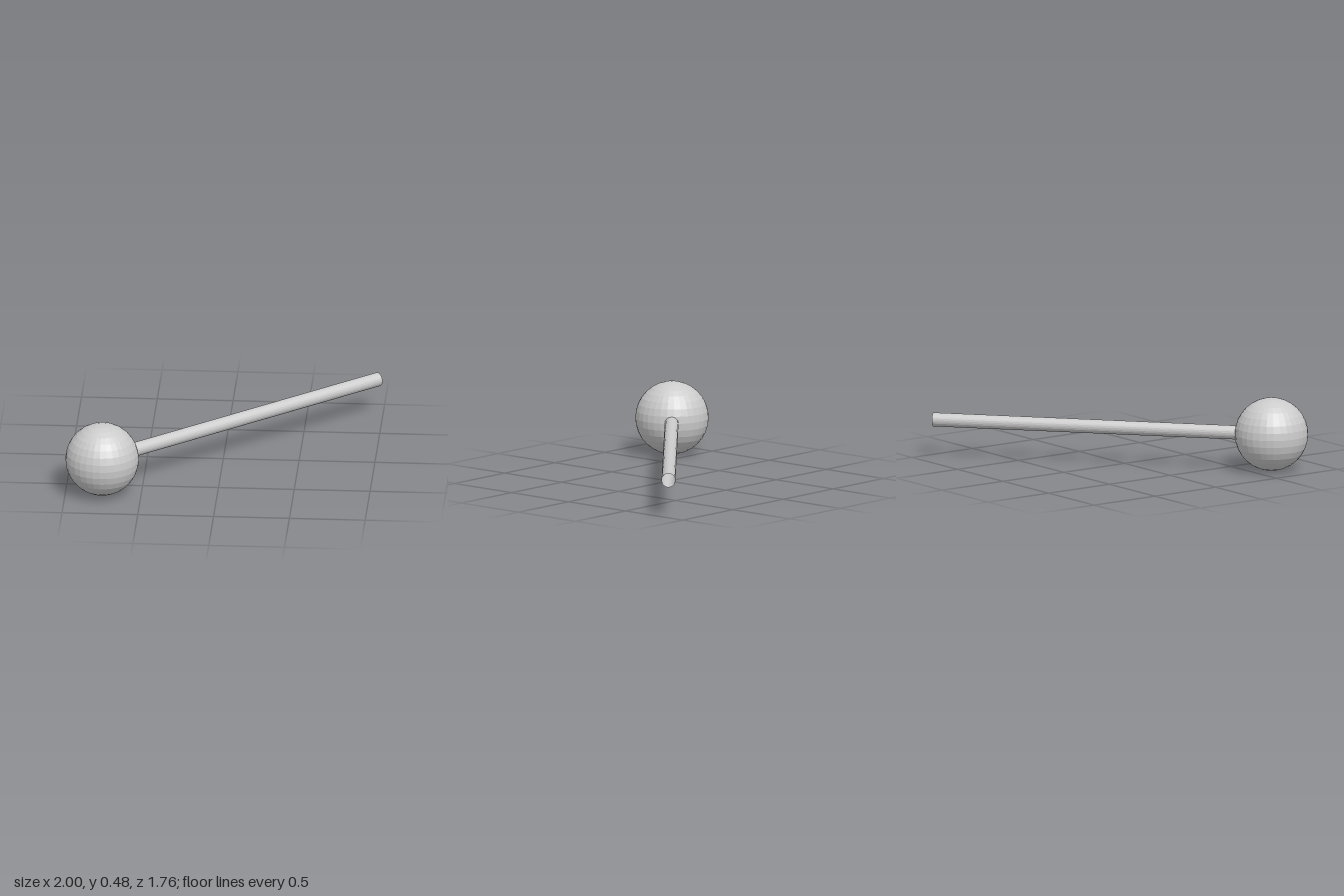
import * as THREE from 'three';

export function createModel() {
  const group = new THREE.Group();
  const material = new THREE.MeshStandardMaterial({
    color: 0xcccccc, flatShading: true, side: THREE.DoubleSide,
  });

  // Faceted ball resting on the ground
  const radius = 0.242;
  const center = new THREE.Vector3(-0.758, radius, 0.64);
  const ball = new THREE.Mesh(new THREE.SphereGeometry(radius, 32, 16), material);
  ball.name = 'ball';
  ball.position.copy(center);
  group.add(ball);

  // Open hollow rod pointing radially out of the ball
  const end = new THREE.Vector3(0.968, radius, -0.848);
  const direction = end.clone().sub(center).normalize();
  const start = center.clone().addScaledVector(direction, radius * 0.93);
  const rod = new THREE.Mesh(
    new THREE.CylinderGeometry(0.046, 0.046, start.distanceTo(end), 24, 1, true), material);
  rod.name = 'rod';
  rod.position.copy(start).lerp(end, 0.5);
  rod.quaternion.setFromUnitVectors(new THREE.Vector3(0, 1, 0), direction);
  group.add(rod);

  return group;
}
